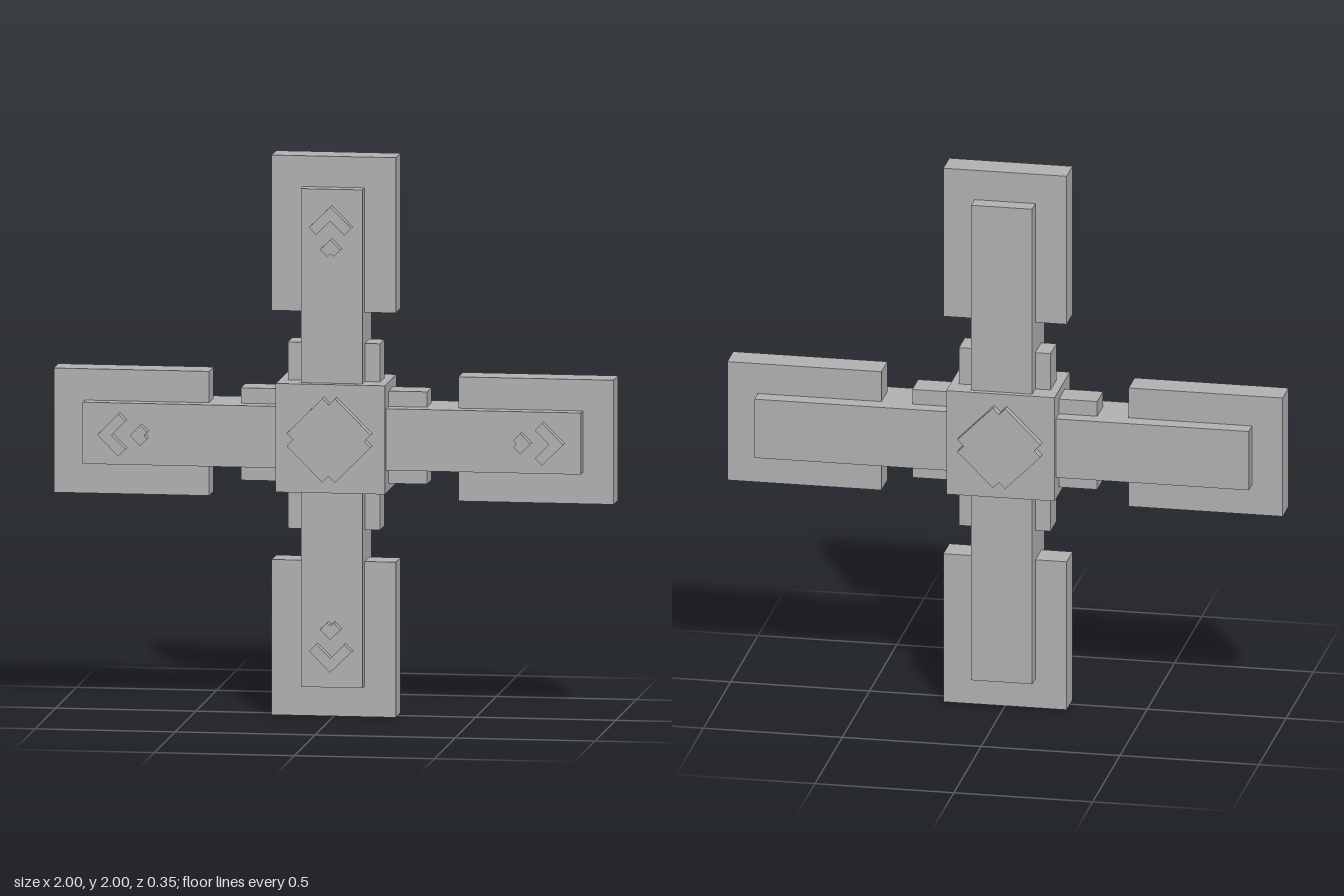
import * as THREE from 'three';

const CENTER_Y = 1.0;

export function createModel() {
  const model = new THREE.Group();
  model.name = 'cross';
  const gray = new THREE.MeshStandardMaterial({ color: 0xb0b0b0 });
  gray.name = 'plain gray';

  // Box given by its extents along x, y and z
  function box(parent, name, x0, x1, y0, y1, z0, z1) {
    const mesh = new THREE.Mesh(new THREE.BoxGeometry(x1 - x0, y1 - y0, z1 - z0), gray);
    mesh.position.set((x0 + x1) / 2, (y0 + y1) / 2, (z0 + z1) / 2);
    mesh.name = name;
    parent.add(mesh);
  }

  // Flat outline extruded from z0 to z1
  function plate(parent, name, points, z0, z1) {
    const shape = new THREE.Shape(points.map(([x, y]) => new THREE.Vector2(x, y)));
    const geometry = new THREE.ExtrudeGeometry(shape, { depth: z1 - z0, bevelEnabled: false });
    const mesh = new THREE.Mesh(geometry, gray);
    mesh.position.z = z0;
    mesh.name = name;
    parent.add(mesh);
  }

  // Arrow on each arm, pointing outwards
  const chevron = [[0, 0.832], [-0.076, 0.757], [-0.05, 0.731], [0, 0.781], [0.05, 0.731], [0.076, 0.757]];
  const arrowDot = [[0, 0.715], [-0.037, 0.679], [-0.012, 0.654], [0, 0.664], [0.012, 0.654], [0.037, 0.679]];

  // Four equal arms turned about the centre
  ['top', 'left', 'bottom', 'right'].forEach((side, i) => {
    const arm = new THREE.Group();
    arm.name = side + 'Arm';
    arm.position.y = CENTER_Y;
    arm.rotation.z = (-i * Math.PI) / 2;
    box(arm, 'beam', -0.11, 0.11, 0.15, 0.89, -0.123, 0.098);
    box(arm, 'endPanel', -0.222, 0.222, 0.445, 1, -0.062, 0.047);
    box(arm, 'collar', -0.165, 0.165, 0.15, 0.333, -0.067, 0.041);
    plate(arm, 'chevron', chevron, 0.09, 0.134);
    plate(arm, 'arrowDot', arrowDot, 0.09, 0.134);
    model.add(arm);
  });

  // Central block
  const hub = new THREE.Group();
  hub.name = 'hub';
  hub.position.y = CENTER_Y + 0.003;
  box(hub, 'hubBlock', -0.195, 0.195, -0.194, 0.194, -0.145, 0.132);

  // Diamond badge with notched corners, front and back
  const a = 0.122, b = 0.09;
  const notched = [
    [a, -b], [a, b], [b, b], [b, a], [-b, a], [-b, b],
    [-a, b], [-a, -b], [-b, -b], [-b, -a], [b, -a], [b, -b],
  ];
  const badge = new THREE.Group();
  badge.name = 'diamondBadge';
  badge.rotation.z = Math.PI / 4;
  plate(badge, 'frontDiamond', notched, 0.12, 0.173);
  plate(badge, 'backDiamond', notched, -0.173, -0.135);
  hub.add(badge);
  model.add(hub);

  return model;
}
